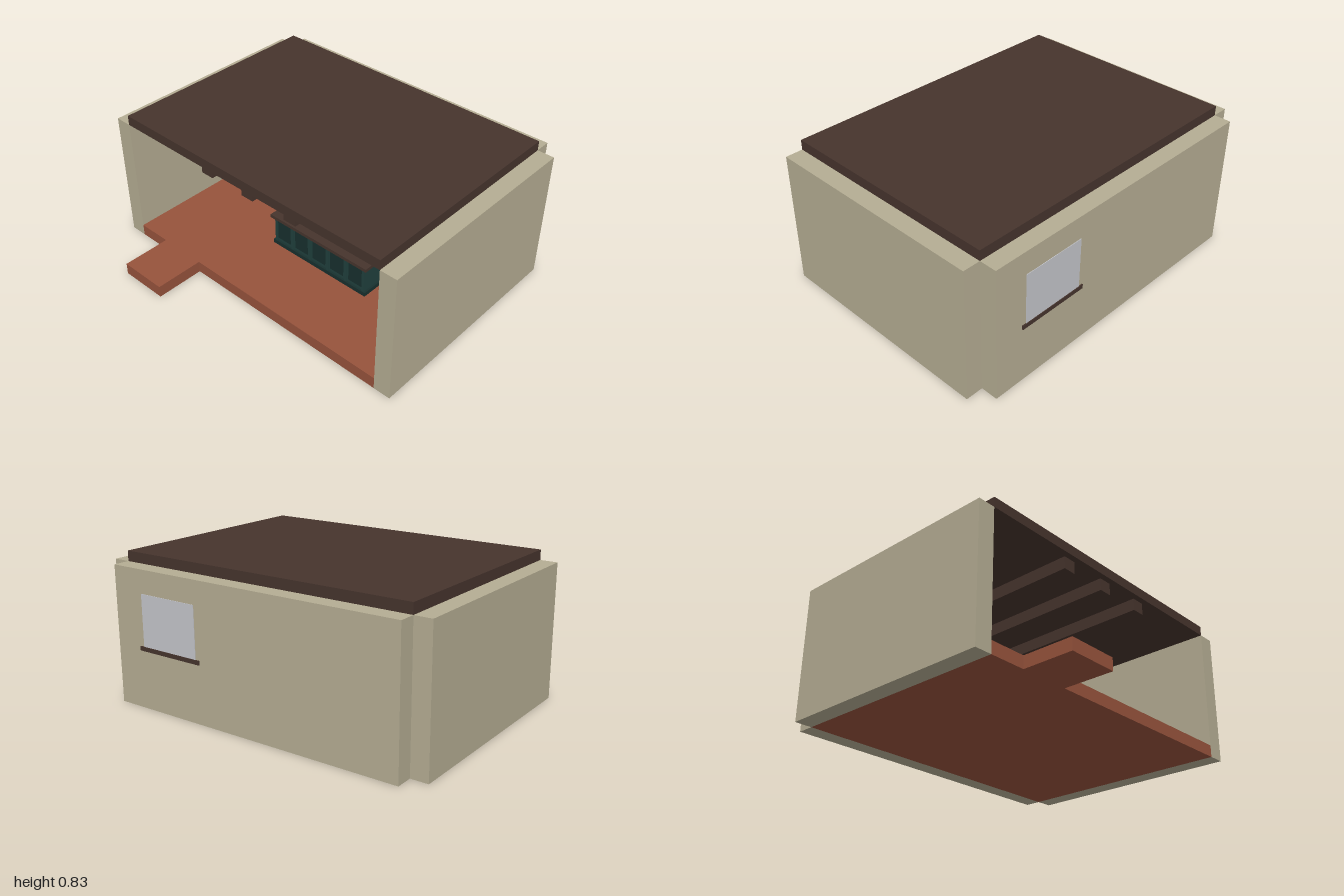
import * as THREE from 'three';

const material = (name, color, extra = {}) =>
  Object.assign(new THREE.MeshStandardMaterial({ color, ...extra }), { name });

export function createModel() {
  const plaster = material('plaster', 0xb5ad93);
  const darkWood = material('dark wood', 0x46342d);
  const terracotta = material('terracotta', 0x97533c);
  const glass = material('window glass', 0xc4c5ca);
  const teal = material('teal paint', 0x20403d);
  const deepTeal = material('deep teal', 0x17302e);
  const cream = material('cream', 0xd2cbb8);

  const model = new THREE.Group();
  model.name = 'kitchenRoom';

  // Box given by its lower and upper limits on each axis
  const box = (name, mat, [x0, x1], [y0, y1], [z0, z1], parent = model) => {
    const mesh = new THREE.Mesh(new THREE.BoxGeometry(x1 - x0, y1 - y0, z1 - z0), mat);
    mesh.position.set((x0 + x1) / 2, (y0 + y1) / 2, (z0 + z1) / 2);
    mesh.name = name;
    parent.add(mesh);
    return mesh;
  };

  // Shell: floor, entrance step, three walls and flat roof
  const roomX = [-0.565, 0.75];
  const roomZ = [-0.9, 0.9];
  box('floor', terracotta, roomX, [0, 0.07], roomZ);
  box('entranceStep', terracotta, [-0.855, -0.565], [0, 0.07], [-0.69, -0.4]);
  box('frontWall', plaster, roomX, [0, 0.777], [0.9, 1]);
  box('backWall', plaster, roomX, [0, 0.777], [-1, -0.9]);
  box('sideWall', plaster, [0.75, 0.848], [0, 0.777], roomZ);
  box('roof', darkWood, roomX, [0.777, 0.835], roomZ);

  // Ceiling beams
  for (const z of [-0.3, 0, 0.3]) {
    box('ceilingBeam', darkWood, [-0.53, 0.75], [0.705, 0.777], [z - 0.04, z + 0.04]);
  }

  // Window, seen on both faces of the wall
  box('windowPane', glass, [0.747, 0.851], [0.35, 0.645], [0.33, 0.705]);
  box('windowSill', darkWood, [0.742, 0.855], [0.33, 0.354], [0.305, 0.73]);

  // Kitchen island
  const island = new THREE.Group();
  island.name = 'island';
  model.add(island);
  const [x0, x1, z0, z1] = [-0.135, 0.12, -0.2, 0.47];
  box('islandPlinth', deepTeal, [x0 - 0.012, x1 + 0.012], [0.07, 0.095], [z0 - 0.012, z1 + 0.012], island);
  box('islandBody', teal, [x0, x1], [0.095, 0.255], [z0, z1], island);
  box('countertop', darkWood, [x0 - 0.022, x1 + 0.022], [0.255, 0.275], [z0 - 0.022, z1 + 0.022], island);

  // Recessed door panels on both long sides
  const doors = 5;
  const pitch = (z1 - z0) / doors;
  for (const x of [x0, x1]) {
    for (let i = 0; i < doors; i++) {
      const a = z0 + i * pitch;
      box('doorPanel', deepTeal, [x - 0.004, x + 0.004], [0.115, 0.235], [a + 0.02, a + pitch - 0.02], island);
    }
    for (let i = 0; i <= doors; i++) {
      const z = Math.min(Math.max(z0 + i * pitch, z0 + 0.008), z1 - 0.008);
      box('doorStile', teal, [x - 0.008, x + 0.008], [0.095, 0.255], [z - 0.008, z + 0.008], island);
    }
  }

  // Things on the countertop
  for (const z of [-0.09, 0.18]) {
    box('servingTray', deepTeal, [-0.1, 0.01], [0.275, 0.28], [z - 0.055, z + 0.055], island);
    box('trayCloth', cream, [-0.085, -0.005], [0.28, 0.286], [z - 0.04, z + 0.04], island);
  }
  box('choppingBoard', terracotta, [-0.1, 0], [0.275, 0.284], [0.01, 0.1], island);
  const cup = new THREE.Mesh(new THREE.CylinderGeometry(0.012, 0.01, 0.03, 12), darkWood);
  cup.name = 'cup';
  cup.position.set(-0.08, 0.29, 0.29);
  island.add(cup);

  return model;
}
